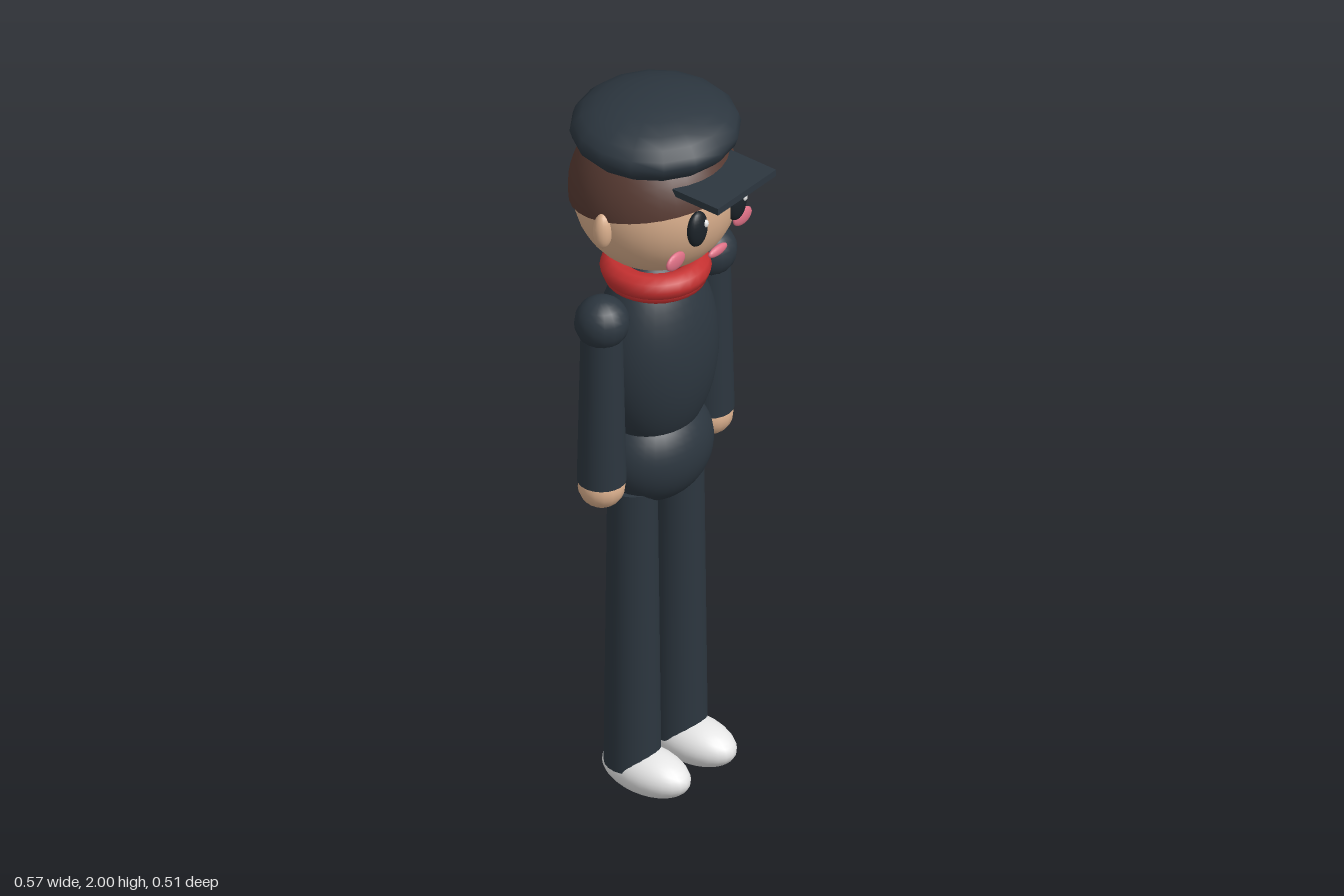
import * as THREE from 'three';

const mat = (name, color) => {
  const m = new THREE.MeshStandardMaterial({ color });
  m.name = name;
  return m;
};

export function createModel() {
  const cloth = mat('dark cloth', 0x2c363f);
  const skin = mat('skin', 0xd9ae8c);
  const brown = mat('brown hair', 0x573a32);
  const red = mat('red scarf', 0xc53030);
  const pink = mat('pink', 0xdd7085);
  const black = mat('eye black', 0x1b2228);
  const white = mat('white', 0xe6e6e6);
  brown.side = THREE.DoubleSide;

  const model = new THREE.Group();
  model.name = 'figure';
  const Z = -0.036; // depth of the body axis

  const add = (name, geometry, material, x, y, z) => {
    const mesh = new THREE.Mesh(geometry, material);
    mesh.name = name;
    mesh.position.set(x, y, z);
    model.add(mesh);
    return mesh;
  };
  const ellipsoid = (name, material, [x, y, z], [rx, ry, rz], seg = 24) =>
    add(name, new THREE.SphereGeometry(1, seg, Math.max(12, seg * 0.75)).scale(rx, ry, rz), material, x, y, z);

  // Head and hair: the hair is a shell tilted towards the nape
  ellipsoid('head', skin, [0, 1.73, Z], [0.21, 0.21, 0.208], 32);
  const hair = add('hair', new THREE.SphereGeometry(0.216, 32, 12, 0, Math.PI * 2, 0, Math.PI / 2), brown, 0, 1.735, Z - 0.004);
  hair.rotation.x = -0.2;

  // Cap and peak
  ellipsoid('cap', cloth, [0, 1.912, Z - 0.001], [0.217, 0.088, 0.213], 16);
  add('capPeak', new THREE.BoxGeometry(0.23, 0.019, 0.145), cloth, 0, 1.832, 0.183);

  // Mouth and neck scarf
  ellipsoid('mouth', pink, [0, 1.622, 0.162], [0.036, 0.014, 0.01], 16);
  const ring = (name, R, tube, y) =>
    add(name, new THREE.TorusGeometry(R, tube, 10, 28).rotateX(Math.PI / 2), red, 0, y, Z);
  ring('scarfUpper', 0.105, 0.035, 1.5);
  ring('scarfLower', 0.103, 0.03, 1.483);

  // Trunk
  ellipsoid('torso', cloth, [0, 1.26, Z], [0.179, 0.28, 0.143], 32);
  ellipsoid('pelvis', cloth, [0, 0.97, Z], [0.164, 0.145, 0.132], 32);

  // Paired parts
  for (const [side, s] of [['left', 1], ['right', -1]]) {
    ellipsoid(side + 'Ear', skin, [s * 0.212, 1.708, Z + 0.002], [0.026, 0.05, 0.024], 16);
    ellipsoid(side + 'Eye', black, [s * 0.077, 1.724, 0.159], [0.034, 0.05, 0.019], 20);
    ellipsoid(side + 'EyeGlint', white, [s * 0.077 + 0.015, 1.738, 0.173], [0.009, 0.011, 0.008], 12);
    ellipsoid(side + 'Cheek', pink, [s * 0.132, 1.645, 0.134], [0.036, 0.024, 0.01], 16);

    ellipsoid(side + 'Shoulder', cloth, [s * 0.213, 1.437, Z], [0.07, 0.07, 0.07], 16);
    add(side + 'Arm', new THREE.CylinderGeometry(0.052, 0.062, 0.47, 20), cloth, s * 0.214, 1.205, Z);
    ellipsoid(side + 'Hand', skin, [s * 0.214, 0.953, Z], [0.06, 0.058, 0.06], 16);

    add(side + 'Leg', new THREE.CylinderGeometry(0.063, 0.072, 0.82, 20), cloth, s * 0.092, 0.483, Z);
    ellipsoid(side + 'Shoe', white, [s * 0.091, 0.062, 0.008], [0.073, 0.06, 0.13], 24);
  }

  return model;
}
